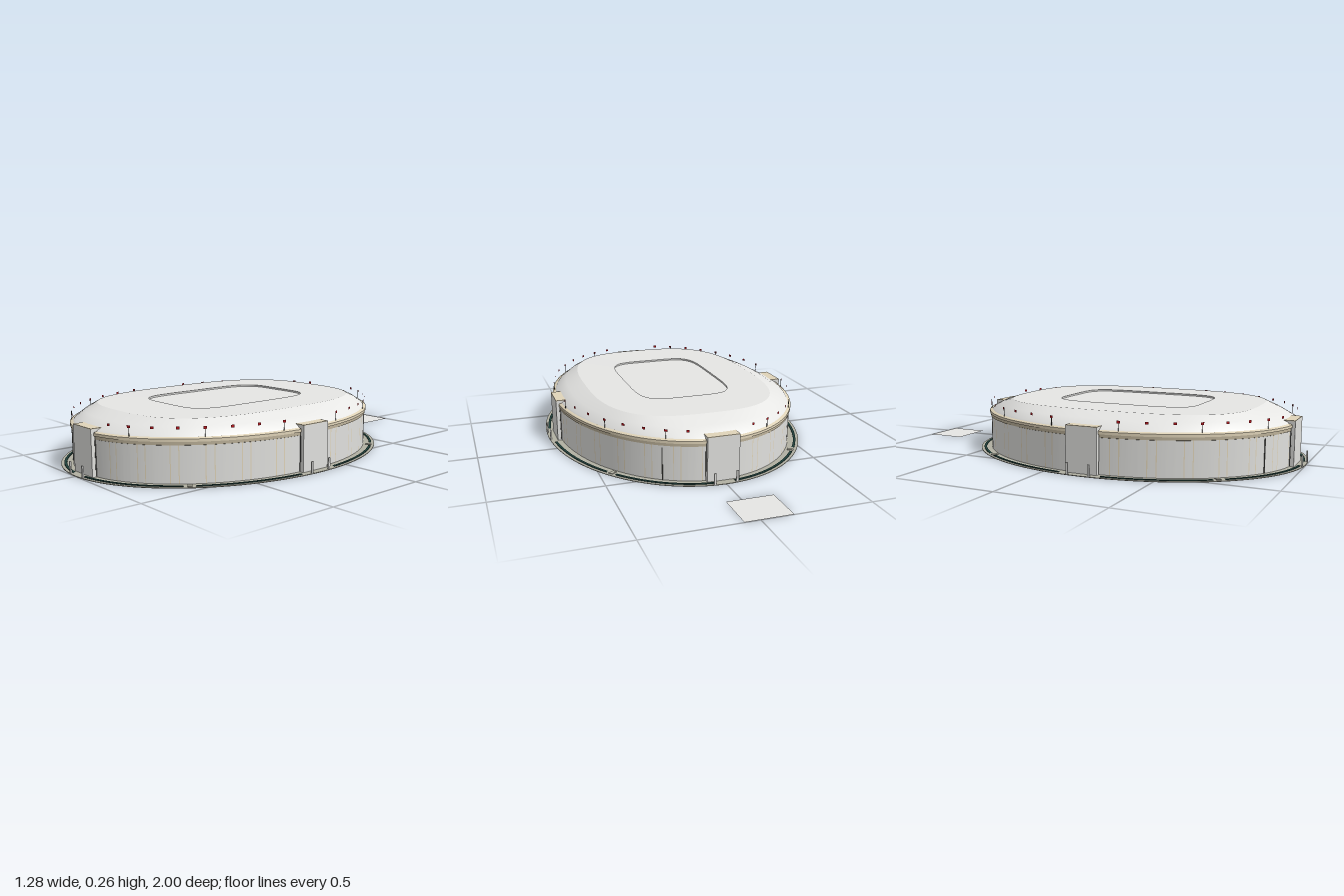
import * as THREE from 'three';
import { toCreasedNormals } from 'three/addons/utils/BufferGeometryUtils.js';

const mat = (name, color, side = THREE.FrontSide) => {
  const m = new THREE.MeshStandardMaterial({ color, side });
  m.name = name;
  return m;
};

export function createModel() {
  const roofGrey = mat('roofGrey', 0xe6e6e4);
  const wallGrey = mat('wallGrey', 0xe0e0dd);
  const tan = mat('tan', 0xe0d4b9);
  const darkTan = mat('darkTan', 0xbcb199);
  const paving = mat('paving', 0xb2b1a3);
  const hedgeGreen = mat('hedgeGreen', 0x1f3f3a);
  const darkGrey = mat('darkGrey', 0x4a4a46);
  const flagRed = mat('flagRed', 0xb5121a, THREE.DoubleSide);
  const padGrey = mat('padGrey', 0xe6e6e4, THREE.DoubleSide);

  const model = new THREE.Group();
  model.name = 'arena';
  const bowl = new THREE.Group();
  bowl.name = 'bowl';
  bowl.position.z = 0.175;
  model.add(bowl);

  const add = (name, geo, material, parent = bowl) => {
    const mesh = new THREE.Mesh(geo, material);
    mesh.name = name;
    parent.add(mesh);
    return mesh;
  };

  const rad = THREE.MathUtils.degToRad;
  const spread = (from, to, seg) => Array.from({ length: seg + 1 }, (_, j) => from + (to - from) * j / seg);
  const fullTurn = spread(0, Math.PI * 2, 128);

  // Skin through superellipse rings [rx, rz, exponent, y] at the given angles (0 = front)
  const loft = (rows, angles = fullTurn) => {
    const pos = [], idx = [], w = angles.length;
    for (const [rx, rz, n, y] of rows) {
      for (const t of angles) {
        const s = Math.sin(t), c = Math.cos(t);
        const k = Math.pow(Math.abs(s) ** n + Math.abs(c) ** n, -1 / n);
        pos.push(rx * s * k, y, rz * c * k);
      }
    }
    for (let i = 0; i < rows.length - 1; i++) {
      for (let j = 0; j < w - 1; j++) {
        const a = i * w + j, b = a + 1, c = a + w, d = c + 1;
        if (rows[i][0] > 0) idx.push(a, b, d);
        if (rows[i + 1][0] > 0) idx.push(a, d, c);
      }
    }
    const geo = new THREE.BufferGeometry();
    geo.setAttribute('position', new THREE.Float32BufferAttribute(pos, 3));
    geo.setIndex(idx);
    return toCreasedNormals(geo, 0.5);
  };

  // Set a mesh on an ellipse, turned to face outward
  const place = (mesh, t, rx, rz, y) => {
    mesh.position.set(rx * Math.sin(t), y, rz * Math.cos(t));
    mesh.rotation.y = Math.atan2(Math.sin(t) / rx, Math.cos(t) / rz);
  };
  // Mirror an angle into all four quadrants
  const quadrants = t => [t, -t, Math.PI - t, Math.PI + t];

  // Ground slab: grey underside, paved top
  add('slabUnderside', loft([[0, 0, 2, 0], [0.64, 0.825, 2, 0]]), roofGrey);
  add('slabPaving', loft([[0.64, 0.825, 2, 0], [0.64, 0.825, 2, 0.003], [0.57, 0.757, 2, 0.003]]), paving);

  // Hedges: eight arcs leaving gaps at the entrances and diagonals
  for (const [a, b] of [[4, 44], [48, 83]]) {
    for (const q of [0, 1, 2, 3]) {
      const flip = q % 2, base = q < 2 ? 0 : 180;
      const from = rad(base + (flip ? -b : a)), to = rad(base + (flip ? -a : b));
      add('hedge', loft([[0.626, 0.811, 2, 0.003], [0.626, 0.811, 2, 0.006],
        [0.614, 0.799, 2, 0.006], [0.614, 0.799, 2, 0.003]], spread(from, to, 24)), hedgeGreen);
    }
  }
  // Small path blocks at the diagonal gaps
  for (const t of quadrants(rad(46))) {
    place(add('pathBlock', new THREE.BoxGeometry(0.02, 0.004, 0.03), paving), t, 0.612, 0.797, 0.004);
  }

  // Outer wall: wide grey panels alternating with narrow strips, half of them tan
  const wallAngles = [];
  for (let k = 0; k < 120; k++) wallAngles.push(rad(k * 3), rad(k * 3) + 0.006);
  wallAngles.push(Math.PI * 2);
  const wallGeo = loft([[0.585, 0.772, 2, 0.003], [0.585, 0.772, 2, 0.165]], wallAngles);
  for (let k = 0; k < 120; k++) {
    wallGeo.addGroup(k * 12, 6, k % 4 === 1 || k % 4 === 2 ? 1 : 0);
    wallGeo.addGroup(k * 12 + 6, 6, 0);
  }
  add('outerWall', wallGeo, [wallGrey, tan]);
  for (const t of [rad(-25.5), rad(154.5)]) {
    place(add('downpipe', new THREE.BoxGeometry(0.004, 0.152, 0.006), darkGrey), t, 0.585, 0.772, 0.079);
  }

  // Cornice bands
  add('lowerCornice', loft([[0.583, 0.77, 2, 0.162], [0.588, 0.775, 2, 0.164],
    [0.588, 0.775, 2, 0.178], [0.58, 0.767, 2, 0.178]]), darkTan);
  add('upperCornice', loft([[0.58, 0.767, 2, 0.177], [0.592, 0.779, 2, 0.178],
    [0.592, 0.779, 2, 0.19], [0.586, 0.773, 2, 0.194], [0.57, 0.757, 2, 0.196]]), tan);

  // Roof: elliptical eave rising to a rounded plateau with a sunken centre
  add('roofSlope', loft([[0.58, 0.767, 2, 0.192], [0.572, 0.758, 2, 0.202],
    [0.515, 0.69, 2.3, 0.23], [0.44, 0.605, 3, 0.255]]), roofGrey);
  add('roofPlateau', loft([[0.44, 0.605, 3, 0.255], [0.235, 0.35, 5, 0.257],
    [0.235, 0.35, 5, 0.249], [0, 0, 5, 0.249]]), roofGrey);

  // Four entrance towers, each with a cap, corner grooves and gate posts
  for (let i = 0; i < 4; i++) {
    const side = i % 2 === 1;
    const front = side ? 0.603 : 0.785;
    const edge = side ? 0.634 : 0.818;
    const tower = new THREE.Group();
    tower.name = 'entranceTower';
    tower.rotation.y = i * Math.PI / 2;
    bowl.add(tower);
    add('towerBody', new THREE.BoxGeometry(0.15, 0.204, 0.06), wallGrey, tower)
      .position.set(0, 0.105, front - 0.03);
    add('towerCap', new THREE.BoxGeometry(0.15, 0.003, 0.06), tan, tower)
      .position.set(0, 0.2085, front - 0.03);
    for (const s of [-1, 1]) {
      add('towerGroove', new THREE.BoxGeometry(0.003, 0.19, 0.004), darkGrey, tower)
        .position.set(s * 0.0755, 0.1, front - 0.018);
      add('gatePost', new THREE.BoxGeometry(0.01, 0.052, 0.006), wallGrey, tower)
        .position.set(s * 0.052, 0.029, edge);
    }
  }

  // Ring of small flags above the eave, some on poles
  for (let i = 0; i < 8; i++) {
    for (const t of quadrants(rad(15 + i * 9))) {
      place(add('flag', new THREE.PlaneGeometry(0.014, 0.011), flagRed), t, 0.586, 0.773, 0.234);
      if (i % 3 === 1) {
        place(add('flagPole', new THREE.CylinderGeometry(0.0015, 0.0015, 0.045, 6), darkGrey), t, 0.584, 0.771, 0.213);
      }
    }
  }

  // Detached flat pad behind the arena
  const pad = add('rearPad', new THREE.PlaneGeometry(0.215, 0.19), padGrey, model);
  pad.rotation.x = -Math.PI / 2;
  pad.position.set(-0.038, 0.001, -0.905);

  return model;
}
